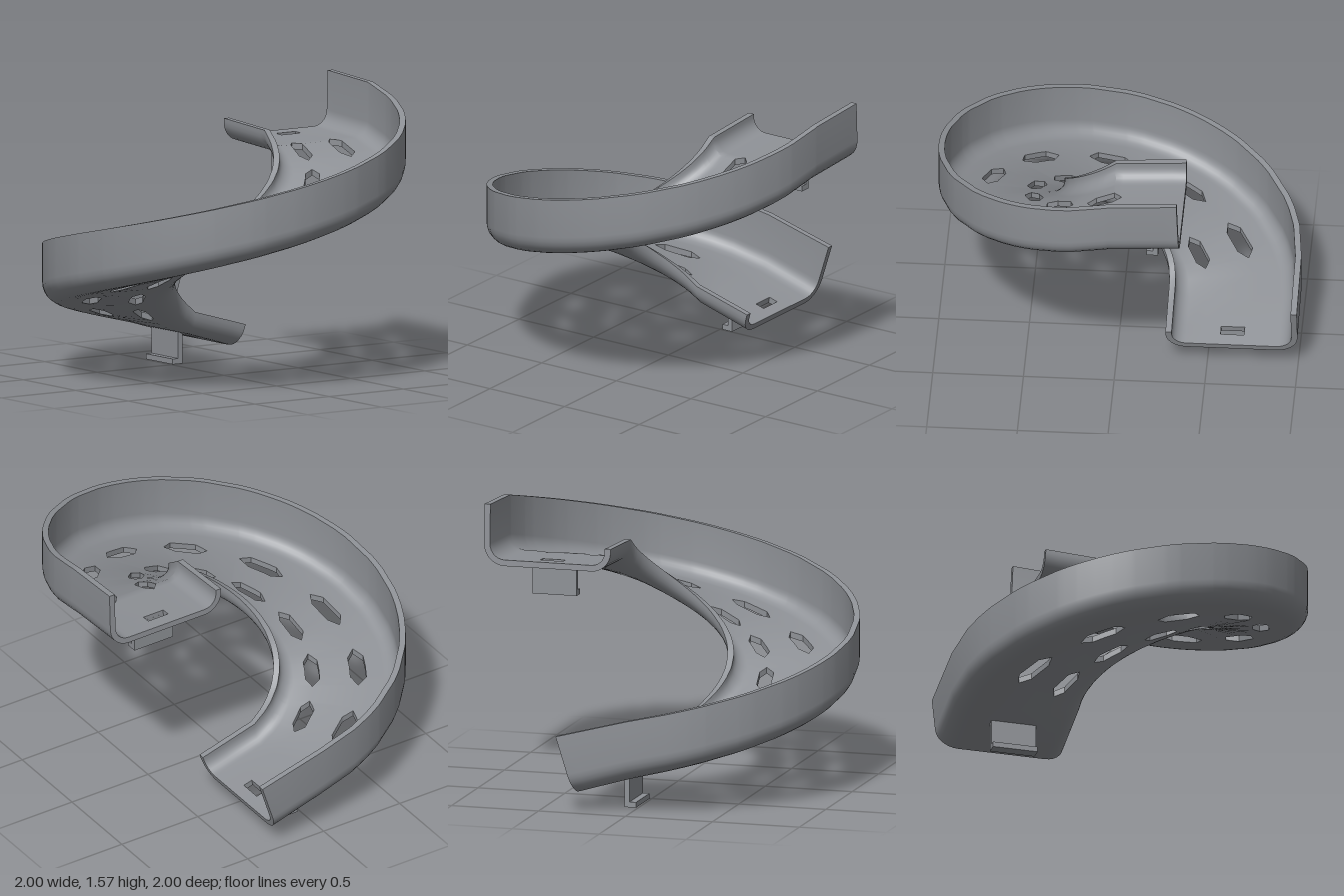
import * as THREE from 'three';
import { toCreasedNormals } from 'three/addons/utils/BufferGeometryUtils.js';

const TURN = Math.PI * 1.5;      // three quarters of a full turn
const T = 0.034;                 // wall thickness
const ENTRY = 0.39, EXIT = 0.3;  // straight lengths at the top and bottom
const ROWS = [                   // two rows of long hexagonal holes
  { r: 0.487, half: 0.2, w: 0.039 },
  { r: 0.74, half: 0.17, w: 0.044 },
];
const HOLES = Array.from({ length: 8 }, (_, i) => 0.115 + 0.58 * i);
const SLOT = { mid: 0.635, lo: 0.57, hi: 0.70 };

// Point on the chute: u along the path, r from the axis, v above the underside
function place(u, r, v) {
  const a = Math.min(Math.max(u, 0), TURN);
  let d = u - a, y = 1.21 - 0.34 * a / (Math.PI / 2);
  if (d < 0) {
    y += -0.055 * d + v;
    d += 0.04 * v * (-d / ENTRY);
  } else {
    const f = d / EXIT;
    y += -0.3 * d + v * (1 - 0.05 * f);
    d += 0.3 * v * f;
  }
  return new THREE.Vector3(
    r * Math.sin(a) + d * Math.cos(a), y, -r * Math.cos(a) + d * Math.sin(a));
}

// Opening [lo, hi] of a row of holes at u; lo equals hi between holes
function opening(row, u) {
  const a = u < 0 ? u / row.r : u;
  let w = 0;
  for (const c of HOLES) {
    const k = (row.half - Math.abs(a - c)) / (row.half * 0.45);
    w = Math.max(w, row.w * Math.min(1, k));
  }
  return [row.r - w, row.r + w];
}

function makeStations() {
  const us = new Set();
  for (let i = 0; i <= 21; i++) us.add(TURN * i / 21);
  for (const row of ROWS) for (const c of HOLES) for (const k of [-1, -0.55, 0.55, 1]) {
    const a = c + k * row.half;
    us.add(a < 0 ? a * row.r : a);
  }
  const curve = [...us].sort((p, q) => p - q)
    .map(u => ({ u, holes: ROWS.map(row => opening(row, u)) }));
  // straight ends, each with a rectangular slot
  const flat = (u, open) => ({
    u, holes: [[ROWS[0].r, ROWS[0].r], open ? [SLOT.lo, SLOT.hi] : [SLOT.mid, SLOT.mid]],
  });
  const slot = (a, b) => [flat(a), flat(a, true), flat(b, true), flat(b)];
  return [flat(-ENTRY), ...slot(-0.31, -0.26), ...curve,
    ...slot(TURN + 0.185, TURN + 0.235), flat(TURN + EXIT)];
}

// Quarter-circle points around (cx, cy)
function arc(cx, cy, rad, from, to, n = 7) {
  return Array.from({ length: n + 1 }, (_, i) => {
    const a = from + (to - from) * i / n;
    return [cx + rad * Math.cos(a), cy + rad * Math.sin(a)];
  });
}

// Three closed sections: inner lip, middle floor strip, outer wall.
// The third number of a point marks the hole row whose side starts there.
function sections([[lo1, hi1], [lo2, hi2]]) {
  const P = Math.PI, Ri = 0.11, Ro = 0.12, ri = 0.272, ro = 1;
  return [
    [[ri, 0.13], ...arc(ri + Ri, Ri, Ri, P, P * 1.5), [lo1, 0, 0], [lo1, T],
      ...arc(ri + Ri, Ri, Ri - T, P * 1.5, P), [ri + T, 0.13]],
    [[hi1, 0], [lo2, 0, 1], [lo2, T], [hi1, T, 0]],
    [[hi2, 0], ...arc(ro - Ro, Ro, Ro, -P / 2, 0), [ro, 0.34], [ro - T, 0.34],
      ...arc(ro - Ro, Ro, Ro - T, 0, -P / 2), [hi2, T, 1]],
  ];
}

function chuteGeometry() {
  const pos = [];
  const tri = (a, b, c) => {
    const area = b.clone().sub(a).cross(c.clone().sub(a)).length();
    if (area > 1e-9) for (const p of [a, b, c]) pos.push(p.x, p.y, p.z);
  };
  const rings = makeStations().map(s => ({
    ...s,
    open: s.holes.map(([lo, hi]) => hi - lo > 1e-4),
    loops: sections(s.holes).map(l => l.map(([r, v, row]) => ({ r, v, row, p: place(s.u, r, v) }))),
  }));
  for (let i = 0; i + 1 < rings.length; i++) {
    const A = rings[i], B = rings[i + 1];
    A.loops.forEach((la, k) => {
      const lb = B.loops[k];
      la.forEach((pt, j) => {
        // leave out hole sides where there is no hole
        if (pt.row !== undefined && !A.open[pt.row] && !B.open[pt.row]) return;
        const n = (j + 1) % la.length;
        tri(la[j].p, la[n].p, lb[n].p);
        tri(la[j].p, lb[n].p, lb[j].p);
      });
    });
  }
  // end faces
  for (const [ring, flip] of [[rings[0], true], [rings[rings.length - 1], false]]) {
    for (const loop of ring.loops) {
      const outline = loop.map(q => new THREE.Vector2(q.r, q.v));
      for (const [a, b, c] of THREE.ShapeUtils.triangulateShape(outline, [])) {
        if (flip) tri(loop[a].p, loop[c].p, loop[b].p);
        else tri(loop[a].p, loop[b].p, loop[c].p);
      }
    }
  }
  const g = new THREE.BufferGeometry();
  g.setAttribute('position', new THREE.Float32BufferAttribute(pos, 3));
  return toCreasedNormals(g, 0.6);
}

// L-shaped hook with its foot along +x
function hookGeometry(height) {
  const pts = [[0, 0], [0.065, 0], [0.065, 0.03], [0.028, 0.03], [0.028, height], [0, height]];
  const shape = new THREE.Shape(pts.map(p => new THREE.Vector2(...p)));
  return new THREE.ExtrudeGeometry(shape, { depth: 0.255, bevelEnabled: false });
}

export function createModel() {
  const group = new THREE.Group();
  group.name = 'spiralChute';
  const grey = new THREE.MeshStandardMaterial({ color: 0x8e9196 });
  grey.name = 'grey';

  const add = (name, geometry) => {
    const mesh = new THREE.Mesh(geometry, grey);
    mesh.name = name;
    group.add(mesh);
    return mesh;
  };
  add('chute', chuteGeometry());

  add('upperHook', hookGeometry(0.175)).position.set(-0.26, 1.06, -0.76);

  const lower = add('lowerHook', hookGeometry(0.182));
  lower.rotation.y = -Math.PI / 2;
  lower.position.set(-0.505, 0, -0.077);
  return group;
}
